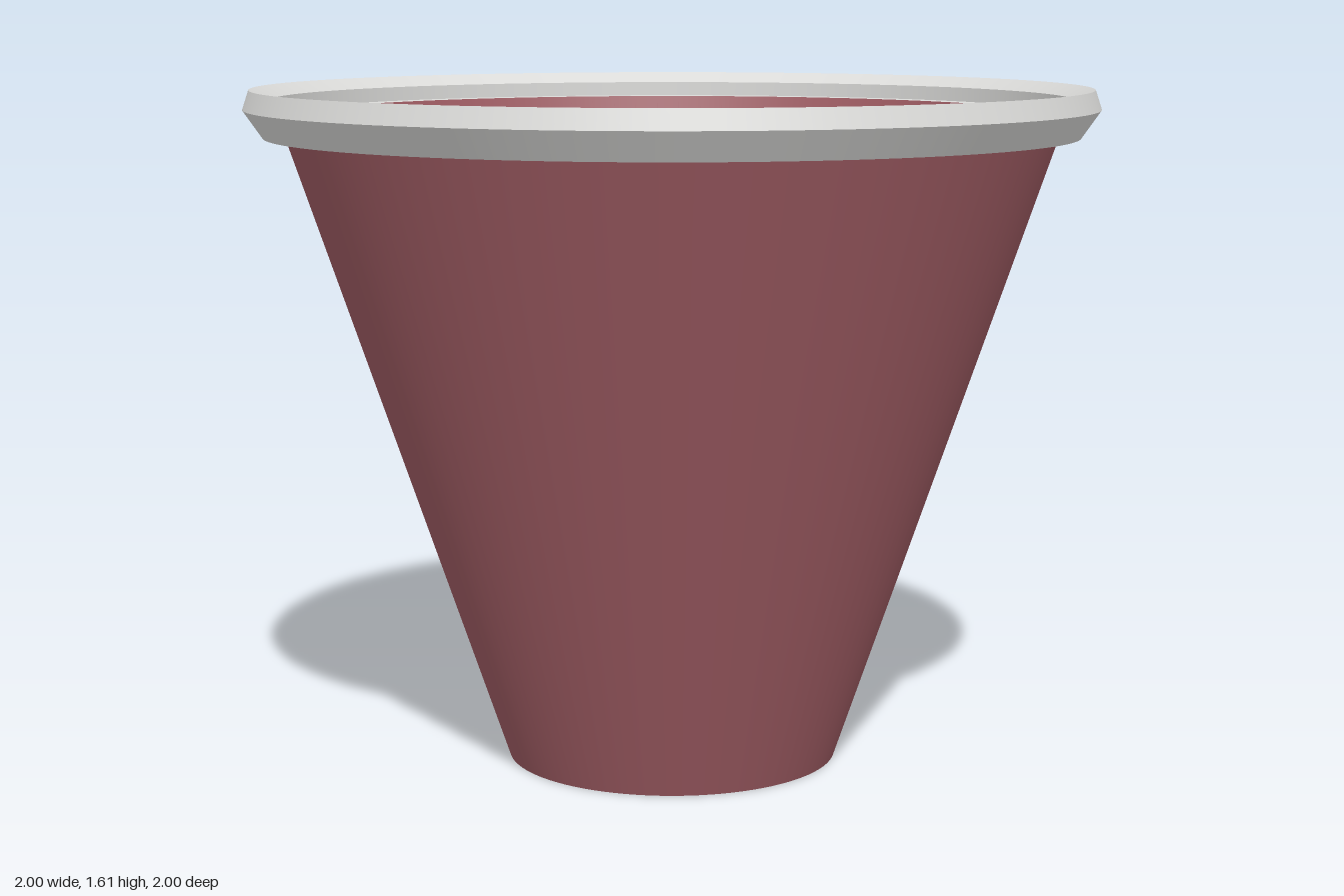
import * as THREE from 'three';

const SEGMENTS = 96;

// Lathe whose profile corners stay sharp while it is smooth around the axis
function sharpLathe(name, profile, material) {
  const group = new THREE.Group();
  group.name = name;
  for (let i = 0; i < profile.length - 1; i++) {
    const band = [profile[i], profile[i + 1]].map(([r, y]) => new THREE.Vector2(r, y));
    const mesh = new THREE.Mesh(new THREE.LatheGeometry(band, SEGMENTS), material);
    mesh.name = name + 'Band';
    group.add(mesh);
  }
  return group;
}

export function createModel() {
  const model = new THREE.Group();
  model.name = 'cup';
  const red = new THREE.MeshStandardMaterial({ color: 0x9c5a61 });
  red.name = 'dusty red';
  const grey = new THREE.MeshStandardMaterial({ color: 0xdadad8 });
  grey.name = 'light grey';

  // Tapered wall: base, outside
  model.add(sharpLathe('outerWall', [[0, 0], [0.395, 0], [0.905, 1.5]], red));

  // Inside of the wall, from the rim down to the floor
  model.add(sharpLathe('innerWall', [[0.89, 1.545], [0.38, 0.045]], red));

  // Raised floor with a rounded edge
  const floorProfile = [
    [0.38, 0.045], [0.373, 0.068], [0.355, 0.085], [0.325, 0.097], [0.28, 0.103], [0.2, 0.105], [0, 0.105],
  ].map(([r, y]) => new THREE.Vector2(r, y));
  const floor = new THREE.Mesh(new THREE.LatheGeometry(floorProfile, SEGMENTS), red);
  floor.name = 'floor';
  model.add(floor);

  // Bevelled rim with a stepped ledge on the inside
  model.add(sharpLathe('rim', [
    [0.9, 1.495], [0.955, 1.495], [1, 1.56], [0.985, 1.605],
    [0.94, 1.58], [0.94, 1.545], [0.89, 1.545],
  ], grey));

  return model;
}
